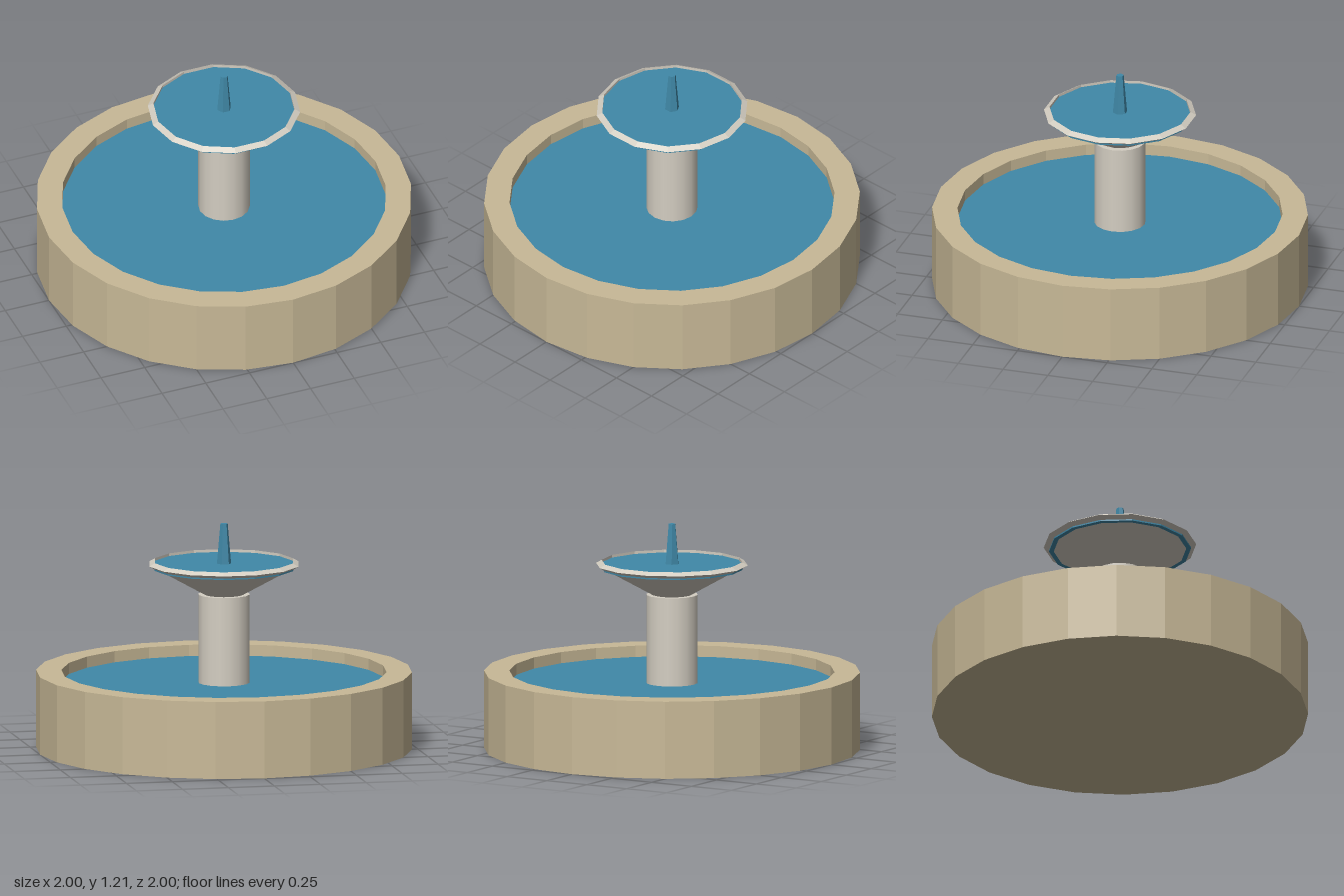
import * as THREE from 'three';

export function createModel() {
  const fountain = new THREE.Group();
  fountain.name = 'fountain';

  const material = (color, flatShading) => new THREE.MeshStandardMaterial({ color, flatShading });
  const sandstone = material(0xc8b997, true);
  const stone = material(0xd4cec2, false);
  const rimStone = material(0xd4cec2, true);
  const water = material(0x4089a8, true);

  const add = (name, geometry, mat) => {
    const mesh = new THREE.Mesh(geometry, mat);
    mesh.name = name;
    fountain.add(mesh);
  };

  // Upright prism or cone between two heights, with a corner on the x axis
  const column = (name, rTop, rBottom, y0, y1, sides, mat) => {
    const geometry = new THREE.CylinderGeometry(rTop, rBottom, y1 - y0, sides);
    geometry.rotateY(Math.PI / 2).translate(0, (y0 + y1) / 2, 0);
    add(name, geometry, mat);
  };

  // Basin: closed floor, outer wall, flat rim and inner wall
  const basinProfile = [[0, 0], [1, 0], [1, 0.415], [0.865, 0.415], [0.865, 0.3], [0, 0.3]]
    .map(([r, y]) => new THREE.Vector2(r, y));
  add('basin', new THREE.LatheGeometry(basinProfile, 24), sandstone);
  column('basinWater', 0.865, 0.865, 0.31, 0.355, 24, water);

  // Pillar carrying the upper bowl
  column('pillar', 0.137, 0.137, 0.02, 0.83, 16, stone);
  column('upperBowl', 0.36, 0.105, 0.83, 0.972, 14, stone);
  column('upperWater', 0.378, 0.378, 0.968, 0.995, 14, water);

  // Rim with a triangular section, pointing outwards
  const rim = new THREE.TorusGeometry(0.386, 0.02, 3, 14);
  rim.rotateX(Math.PI / 2).translate(0, 0.992, 0);
  add('upperBowlRim', rim, rimStone);

  // Jet of water
  column('waterJet', 0.02, 0.039, 0.99, 1.21, 6, water);

  return fountain;
}
